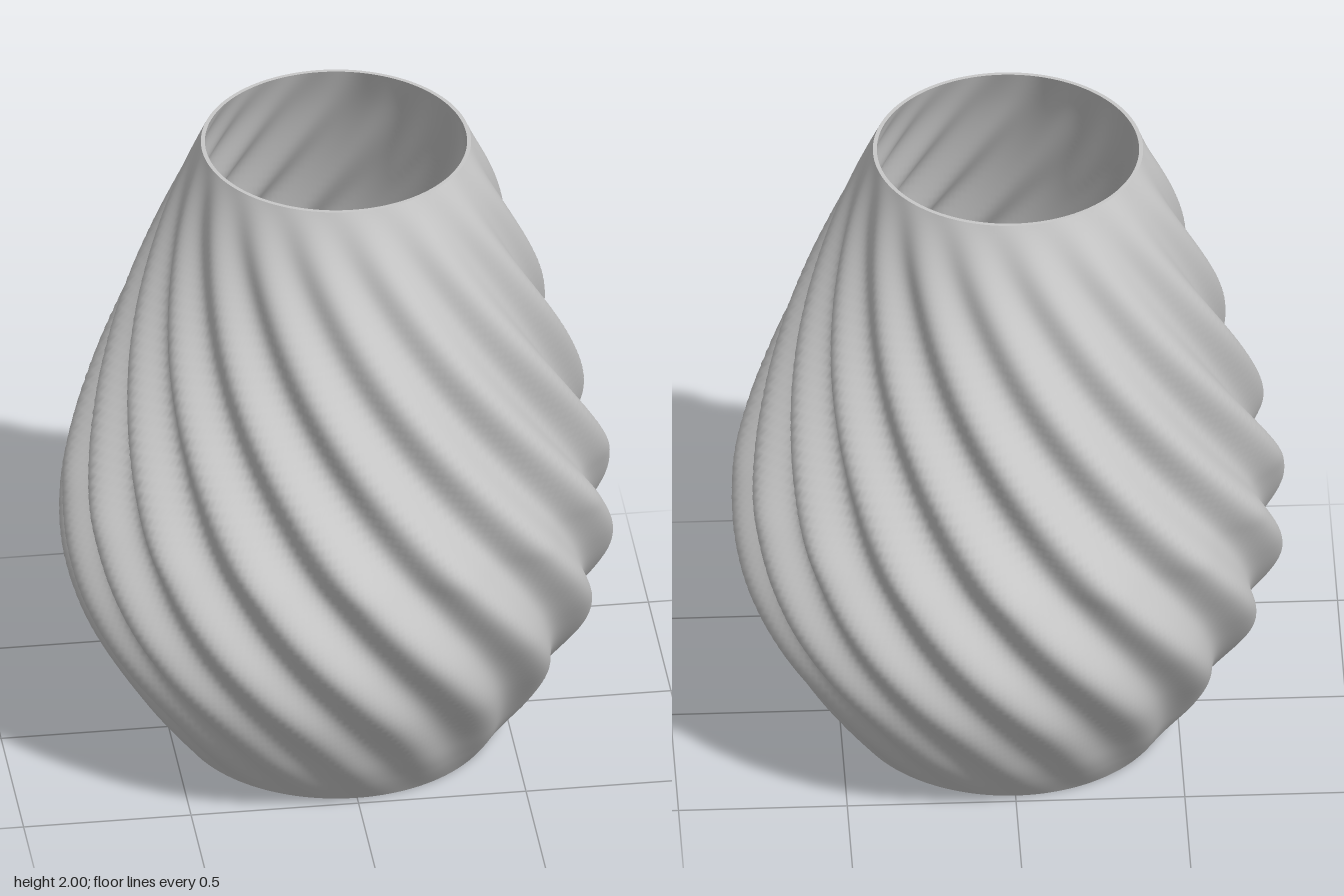
import * as THREE from 'three';

const HEIGHT = 2, LOBES = 16, TWIST = 1.02, DEPTH = 0.041, WALL = 0.012;

// Mean radius (x) against height (y)
const profile = new THREE.SplineCurve([
  [0.47, 0], [0.535, 0.09], [0.605, 0.2], [0.715, 0.4], [0.77, 0.56], [0.787, 0.7], [0.779, 0.84],
  [0.757, 0.96], [0.682, 1.2], [0.602, 1.45], [0.515, 1.7], [0.457, 1.86], [0.4, 2],
].map(([r, y]) => new THREE.Vector2(r, y)));

// Twisted lobed wall; the flutes fade out towards both rims
function wallGeometry(offset, inward) {
  const around = 256, rows = 100;
  const positions = [], indices = [];
  for (let j = 0; j <= rows; j++) {
    const p = profile.getPoint(j / rows);
    const fade = Math.sin(Math.PI * p.y / HEIGHT);
    for (let i = 0; i < around; i++) {
      const a = (i / around) * Math.PI * 2;
      const flute = Math.cos(LOBES * (a - TWIST * (p.y - 1.05)));
      const r = p.x - offset - DEPTH * fade * flute;
      positions.push(r * Math.cos(a), p.y, r * Math.sin(a));
      if (j === rows) continue;
      const n = (i + 1) % around;
      const A = j * around + i, B = j * around + n, C = A + around, D = B + around;
      if (inward) indices.push(A, B, C, B, D, C);
      else indices.push(A, C, B, B, C, D);
    }
  }
  const g = new THREE.BufferGeometry();
  g.setAttribute('position', new THREE.Float32BufferAttribute(positions, 3));
  g.setIndex(indices);
  g.computeVertexNormals();
  return g;
}

export function createModel() {
  const group = new THREE.Group();
  group.name = 'twistedVase';
  const grey = new THREE.MeshStandardMaterial({ color: 0xc8c8c8 });
  grey.name = 'light grey';

  const add = (name, geometry) => {
    const mesh = new THREE.Mesh(geometry, grey);
    mesh.name = name;
    group.add(mesh);
    return mesh;
  };

  add('outerWall', wallGeometry(0, false));
  add('innerWall', wallGeometry(WALL, true));

  // Thin flat lip joining the two walls
  const lip = add('topRim', new THREE.RingGeometry(0.4 - WALL, 0.4, 256));
  lip.rotation.x = -Math.PI / 2;
  lip.position.y = HEIGHT;

  // Floor disc with a round centre hole
  const disc = new THREE.Shape().absarc(0, 0, 0.47, 0, Math.PI * 2, false);
  disc.holes.push(new THREE.Path().absarc(0, 0, 0.185, 0, Math.PI * 2, true));
  const floor = add('floor', new THREE.ExtrudeGeometry(disc, {
    depth: 0.025, bevelEnabled: false, curveSegments: 128,
  }));
  floor.rotation.x = -Math.PI / 2;

  return group;
}
